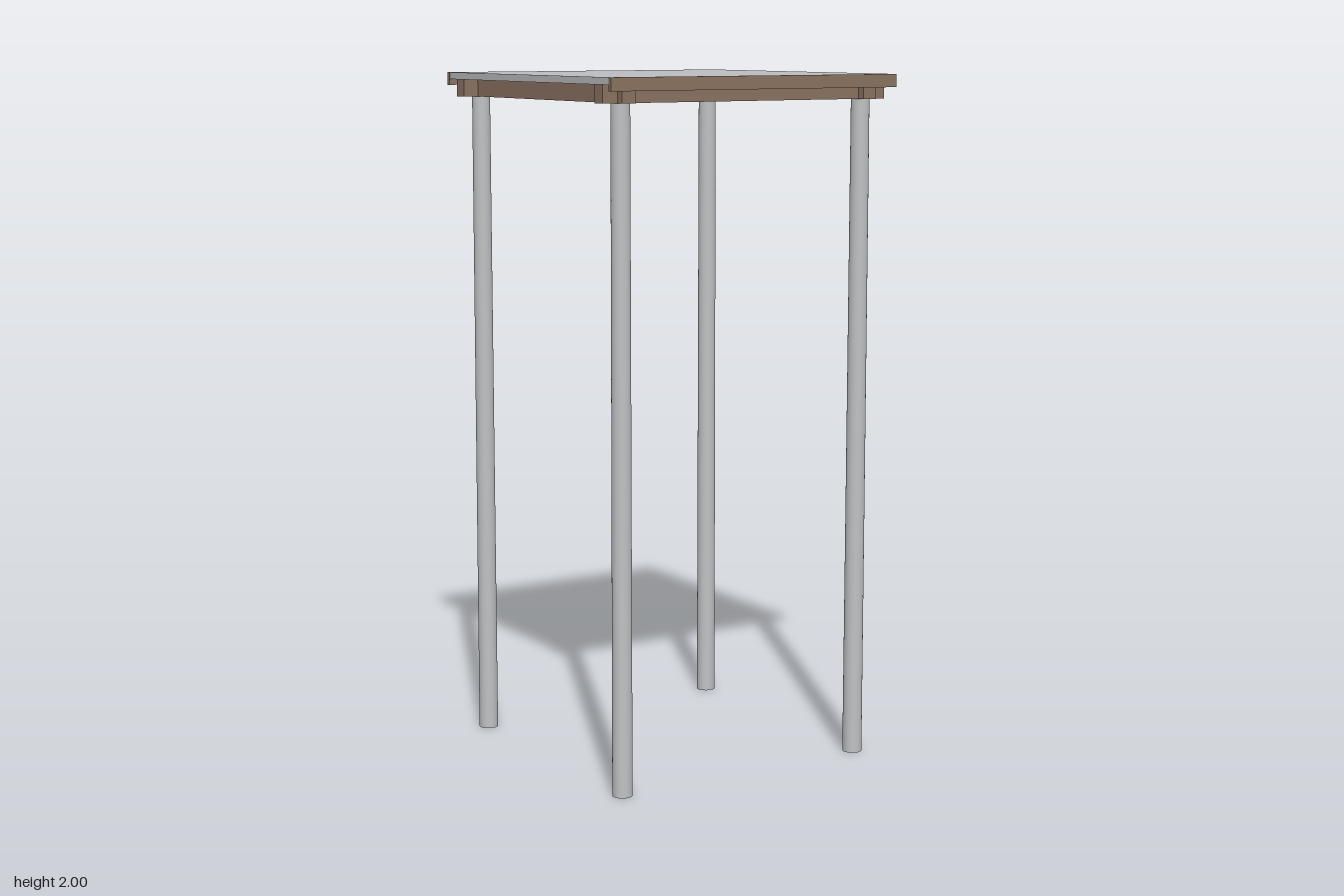
import * as THREE from 'three';

const material = (name, color) => {
  const m = new THREE.MeshStandardMaterial({ color });
  m.name = name;
  return m;
};

export function createModel() {
  const group = new THREE.Group();
  const wood = material('brown wood', 0x8b7360);
  const metal = material('post grey', 0xbfc1c3);
  const sheet = material('roof grey', 0xbcbec1);

  const add = (name, geometry, mat, x, y, z) => {
    const mesh = new THREE.Mesh(geometry, mat);
    mesh.name = name;
    mesh.position.set(x, y, z);
    group.add(mesh);
  };
  const box = (name, mat, w, h, d, x, y, z) =>
    add(name, new THREE.BoxGeometry(w, h, d), mat, x, y, z);

  // Slightly tapered round posts
  const post = new THREE.CylinderGeometry(0.0265, 0.0285, 1.98, 32);
  for (const x of [-0.4, 0.4])
    for (const z of [-0.4, 0.4]) add('post', post, metal, x, 0.99, z);

  for (const s of [-1, 1]) {
    // Crossing beams, ends running past the posts
    box('crossBeam', wood, 0.936, 0.05, 0.044, 0, 1.955, s * 0.4);
    box('sideBeam', wood, 0.044, 0.05, 0.89, s * 0.4, 1.955, 0);
    // Boards along the front and back edges of the roof
    box('fasciaBoard', wood, 0.946, 0.037, 0.013, 0, 1.9815, s * 0.4665);
  }

  // Flat roof sheet
  box('roofSheet', sheet, 0.944, 0.02, 0.92, 0, 1.99, 0);
  return group;
}
